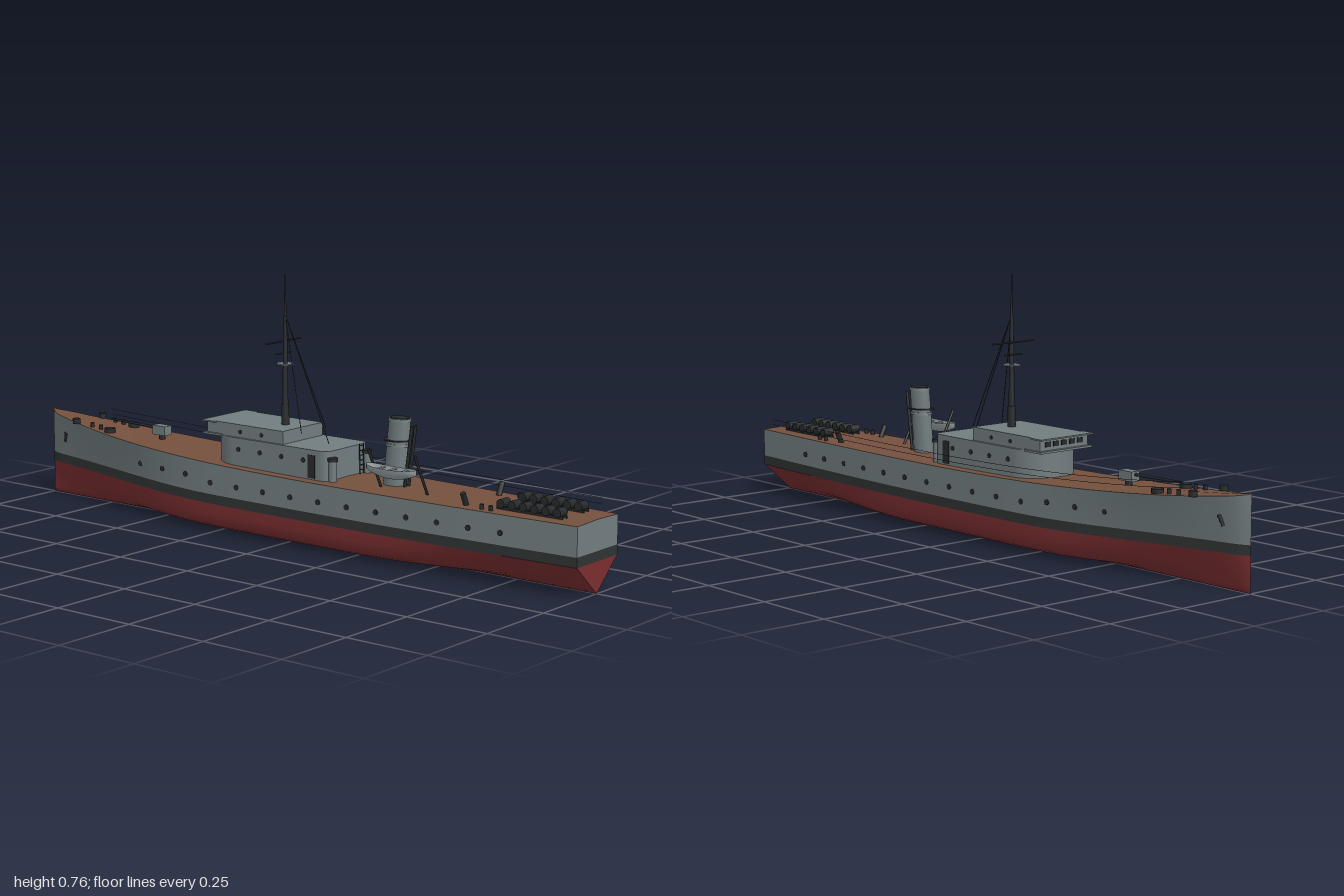
import * as THREE from 'three';

const mat = (name, color) => Object.assign(new THREE.MeshStandardMaterial({ color }), { name });

export function createModel() {
  const grey = mat('hull grey', 0x727d7f), black = mat('boot topping black', 0x303333);
  const red = mat('bottom red', 0x7a2e31), wood = mat('deck brown', 0x75503d);
  const dark = mat('fittings dark', 0x272a2b), pale = mat('boat pale grey', 0x98a2a4);
  pale.side = THREE.DoubleSide;
  const ship = new THREE.Group();
  ship.name = 'patrolShip';

  const add = (name, geo, m, x = 0, y = 0, z = 0) => {
    const mesh = new THREE.Mesh(geo, m);
    mesh.name = name;
    mesh.position.set(x, y, z);
    ship.add(mesh);
    return mesh;
  };
  const box = (name, m, w, h, d, x, y, z) => add(name, new THREE.BoxGeometry(w, h, d), m, x, y, z);
  const post = (name, m, r, h, x, y, z) => add(name, new THREE.CylinderGeometry(r, r, h, 16), m, x, y + h / 2, z);
  // tapered rod between two points
  const rod = (name, m, a, b, r0, r1 = r0, seg = 10) => {
    const A = new THREE.Vector3(...a), B = new THREE.Vector3(...b), d = B.clone().sub(A);
    const mesh = add(name, new THREE.CylinderGeometry(r1, r0, d.length(), seg), m);
    mesh.position.copy(A).add(B).multiplyScalar(0.5);
    mesh.quaternion.setFromUnitVectors(new THREE.Vector3(0, 1, 0), d.normalize());
    return mesh;
  };
  // surface through a row of cross-sections, each a list of [x, y, z]
  const loft = (name, m, sections) => {
    const n = sections[0].length, idx = [];
    for (let i = 0; i < sections.length - 1; i++)
      for (let j = 0; j < n - 1; j++) {
        const a = i * n + j, b = a + n;
        idx.push(a, a + 1, b, a + 1, b + 1, b);
      }
    const g = new THREE.BufferGeometry();
    g.setAttribute('position', new THREE.Float32BufferAttribute(sections.flat(2), 3));
    g.setIndex(idx);
    g.computeVertexNormals();
    return add(name, g, m);
  };
  // horizontal plan shape (x, -z) raised from y by h
  const slab = (name, m, shape, y, h) => {
    const g = new THREE.ExtrudeGeometry(shape, { depth: h, bevelEnabled: false, curveSegments: 20 });
    return add(name, g.rotateX(-Math.PI / 2), m, 0, y, 0);
  };

  // Hull lines: deck half-width, deck height, z
  const lines = new THREE.CatmullRomCurve3([
    [0.098, 0.199, 1], [0.114, 0.2, 0.7], [0.127, 0.201, 0.35], [0.129, 0.203, 0], [0.122, 0.209, -0.3],
    [0.105, 0.219, -0.53], [0.078, 0.232, -0.73], [0.047, 0.246, -0.88], [0.024, 0.256, -0.965], [0, 0.262, -1],
  ].map(p => new THREE.Vector3(...p)));
  const stations = lines.getPoints(54).map(p => {
    const { x: w, y: deck, z } = p, s = THREE.MathUtils.smoothstep;
    const fore = s(-z, 0.25, 1);
    const k = 1 - 0.38 * fore;
    const full = Math.min(1 - s(z, 0.3, 1), 1 - s(-z, 0.3, 1));
    return { w, deck, z, wl: w * k, top: 0.116 + 0.012 * fore, low: 0.088 + 0.012 * fore, full };
  });
  const at = z => stations.reduce((a, b) => Math.abs(b.z - z) < Math.abs(a.z - z) ? b : a);
  const strip = (name, m, f) => {
    loft(name + 'Left', m, stations.map(f));
    loft(name + 'Right', m, stations.map(s => f(s).map(([x, y, z]) => [-x, y, z]).reverse()));
  };
  strip('topside', grey, s => [[s.w, s.deck, s.z], [(s.w * 0.4 + s.wl * 0.6), (s.deck + s.top) / 2, s.z], [s.wl, s.top, s.z]]);
  strip('bootTopping', black, s => [[s.wl, s.top, s.z], [s.wl, s.low, s.z]]);
  const bilge = [[1, 1], [1, 0.66], [0.965, 0.42], [0.88, 0.24], [0.74, 0.14], [0.4, 0.07], [0, 0]];
  const bottom = s => {
    const half = bilge.map(([a, b], i) => {
      const t = 1 - i / 6;
      return [s.wl * THREE.MathUtils.lerp(t, a, s.full), s.low * THREE.MathUtils.lerp(t, b, s.full), s.z];
    });
    return [...half, ...half.slice(0, -1).reverse().map(([x, y, z]) => [-x, y, z])];
  };
  loft('bottom', red, stations.map(bottom));
  loft('deck', wood, stations.map(s => [[-s.w, s.deck, s.z], [0, s.deck + 0.003, s.z], [s.w, s.deck, s.z]]));

  // Transom in three colours
  const flat = pts => new THREE.ShapeGeometry(new THREE.Shape(pts.map(p => new THREE.Vector2(p[0], p[1]))));
  const st = stations[0];
  const panel = (a, b) => flat([[-st.w, a], [st.w, a], [st.w, b], [0, b + (b === st.deck ? 0.003 : 0)], [-st.w, b]]);
  add('transom', panel(st.top, st.deck), grey, 0, 0, 1);
  add('transomBand', panel(st.low, st.top), black, 0, 0, 1);
  add('transomBottom', flat([[-st.w, st.low], [0, 0], [st.w, st.low]]), red, 0, 0, 1);

  // Portholes and anchors on both sides
  for (const side of [-1, 1]) {
    for (let i = 0; i < 14; i++) {
      const z = 0.765 - i * 0.101, s = at(z), y = 0.15 + (z < -0.3 ? 0.012 : 0);
      const w = THREE.MathUtils.lerp(s.wl, s.w, (y - s.top) / (s.deck - s.top));
      rod('porthole', dark, [side * (w - 0.008), y, z], [side * (w + 0.0025), y, z], 0.008, 0.008, 14);
    }
    for (const z of [0.08, 0, -0.08, -0.16])
      rod('housePorthole', dark, [side * 0.093, 0.255, z], [side * 0.0995, 0.255, z], 0.007, 0.007, 14);
    rod('anchor', dark, [side * 0.024, 0.172, -0.925], [side * 0.032, 0.2, -0.915], 0.006);
    box('houseDoor', dark, 0.006, 0.066, 0.026, side * 0.096, 0.24, 0.11);
  }

  // Lower deckhouse, round at the fore end
  const house = new THREE.Shape();
  house.moveTo(-0.067, -0.165).lineTo(0.067, -0.165);
  house.quadraticCurveTo(0.097, -0.165, 0.097, -0.135);
  house.lineTo(0.097, 0.18);
  house.absellipse(0, 0.18, 0.097, 0.1, 0, Math.PI, false);
  house.lineTo(-0.097, -0.135);
  house.quadraticCurveTo(-0.097, -0.165, -0.067, -0.165);
  slab('deckhouse', grey, house, 0.198, 0.09);

  // Bridge with winged roof
  box('bridge', grey, 0.178, 0.037, 0.285, 0, 0.3055, -0.1425);
  box('bridgeFloor', grey, 0.192, 0.006, 0.07, 0, 0.288, -0.262);
  const roof = new THREE.Shape([[-0.09, 0], [0.09, 0], [0.09, 0.25], [0.098, 0.255], [0.098, 0.3],
    [-0.098, 0.3], [-0.098, 0.255], [-0.09, 0.25]].map(p => new THREE.Vector2(...p)));
  slab('bridgeRoof', grey, roof, 0.322, 0.004);
  for (const x of [-0.06, -0.03, 0, 0.03, 0.06]) box('bridgeWindow', dark, 0.02, 0.014, 0.004, x, 0.308, -0.2855);
  for (const side of [-1, 1])
    for (const z of [-0.08, -0.16]) rod('bridgePorthole', dark, [side * 0.085, 0.305, z], [side * 0.091, 0.305, z], 0.006);

  // Ventilators and ladder behind the deckhouse
  for (const side of [-1, 1]) {
    post('ventilator', grey, 0.012, 0.062, side * 0.078, 0.2, 0.172);
    post('ventilatorCap', dark, 0.015, 0.01, side * 0.078, 0.26, 0.172);
    rod('ladderRail', dark, [0.055 + side * 0.009, 0.202, 0.172], [0.055 + side * 0.009, 0.29, 0.17], 0.0015);
  }
  for (let y = 0.215; y < 0.29; y += 0.014) rod('ladderRung', dark, [0.046, y, 0.171], [0.064, y, 0.171], 0.0012);

  // Raked oval funnel: stacked sections follow the same lean
  const funnelZ = y => 0.328 + (y - 0.2) * 0.1;
  const funnelPart = (name, m, r, y0, y1, open = false) => {
    const g = new THREE.CylinderGeometry(r, r * 1.03, y1 - y0, 28, 1, open);
    g.scale(1, 1, 1.28);
    const p = g.attributes.position;
    for (let i = 0; i < p.count; i++) p.setZ(i, p.getZ(i) + p.getY(i) * 0.1);
    add(name, g, m, 0, (y0 + y1) / 2, funnelZ((y0 + y1) / 2));
  };
  funnelPart('funnel', grey, 0.0255, 0.2, 0.392);
  funnelPart('funnelBand', grey, 0.028, 0.315, 0.322);
  funnelPart('funnelRing', dark, 0.033, 0.33, 0.333);
  funnelPart('funnelRim', grey, 0.0268, 0.386, 0.394);
  funnelPart('funnelMouth', dark, 0.0235, 0.385, 0.396);
  for (const x of [-0.009, 0.009]) rod('exhaustPipe', dark, [x, 0.2, 0.372], [x, 0.376, 0.395], 0.0045);

  // Mast, platform, yards and stays
  const mz = -0.065;
  rod('mastFoot', dark, [0, 0.325, mz], [0, 0.385, mz], 0.012, 0.011, 14);
  rod('lowerMast', dark, [0, 0.38, mz], [0, 0.64, mz], 0.009, 0.005, 14);
  rod('topMast', dark, [0, 0.63, mz], [0, 0.76, mz], 0.004, 0.0015);
  post('lookoutPlatform', grey, 0.025, 0.004, 0, 0.5, mz);
  rod('upperYard', dark, [-0.077, 0.567, mz - 0.007], [0.077, 0.567, mz - 0.007], 0.0025);
  rod('lowerYard', dark, [-0.034, 0.532, mz - 0.007], [0.034, 0.532, mz - 0.007], 0.002);
  for (const [x, y, z] of [[-0.055, 0.32, 0.04], [0.055, 0.32, 0.04], [0, 0.29, 0.095]])
    rod('stay', dark, [0, 0.645, mz], [x, y, z], 0.0012, 0.0012, 6);

  // Lifeboat slung between two davits
  const boat = [];
  for (let i = 0; i <= 16; i++) {
    const t = 1 - i / 8, w = 0.024 * Math.sqrt(Math.max(0, 1 - Math.abs(t) ** 2.6)), row = [];
    for (let j = 0; j <= 10; j++) {
      const a = Math.PI * j / 10;
      row.push([Math.cos(a) * w, 0.275 + 0.005 * t * t - Math.sin(a) * (0.03 - 0.014 * t * t), t * 0.086]);
    }
    boat.push(row);
  }
  loft('lifeboat', pale, boat).position.set(-0.105, 0, 0.397);
  for (const z of [-0.04, 0, 0.04]) box('lifeboatThwart', pale, 0.042, 0.003, 0.01, -0.105, 0.27, 0.397 + z);
  for (const z of [0.317, 0.477]) rod('davit', dark, [-0.045, 0.202, z], [-0.104, 0.318, z], 0.004);

  // Foredeck gun
  post('gunPedestal', dark, 0.01, 0.025, 0, 0.219, -0.545);
  box('gunShield', grey, 0.03, 0.028, 0.05, 0, 0.25, -0.546);
  rod('gunBarrel', dark, [0, 0.255, -0.56], [0, 0.258, -0.75], 0.0045, 0.003);

  // Deck fittings and depth charges, mirrored
  for (const s of [-1, 1]) {
    post('mooringBollard', dark, 0.012, 0.016, s * 0.062 * 0.93, at(-0.845).deck, -0.845);
    post('winch', dark, 0.017, 0.014, s * 0.053, at(-0.71).deck, -0.71);
    for (const z of [-0.785, -0.75]) post('foreBollard', dark, 0.006, 0.014, s * 0.05, at(z).deck, z);
    for (const z of [0.69, 0.72]) post('aftBollard', dark, 0.006, 0.014, s * 0.09, 0.2, z);
    rod('chargeThrower', dark, [s * 0.076, 0.2, 0.63], [s * 0.093, 0.236, 0.63], 0.008);
    for (let i = 0; i < 6; i++) {
      const z = 0.735 + i * 0.036;
      rod('depthCharge', dark, [s * 0.034, 0.217, z], [s * 0.068, 0.217, z], 0.0125, 0.0125, 14);
    }
    for (const x of [0.04, 0.062]) box('chargeRack', dark, 0.003, 0.008, 0.21, s * x, 0.205, 0.825);
  }

  // Twin wires along the left rail
  for (const h of [0.02, 0.036]) {
    const path = new THREE.CatmullRomCurve3(stations.filter(s => s.z < 0.97 && s.z > -0.82)
      .map(s => new THREE.Vector3(s.w - 0.004, s.deck + h, s.z)));
    add('railWire', new THREE.TubeGeometry(path, 60, 0.0007, 5), dark);
  }
  return ship;
}
